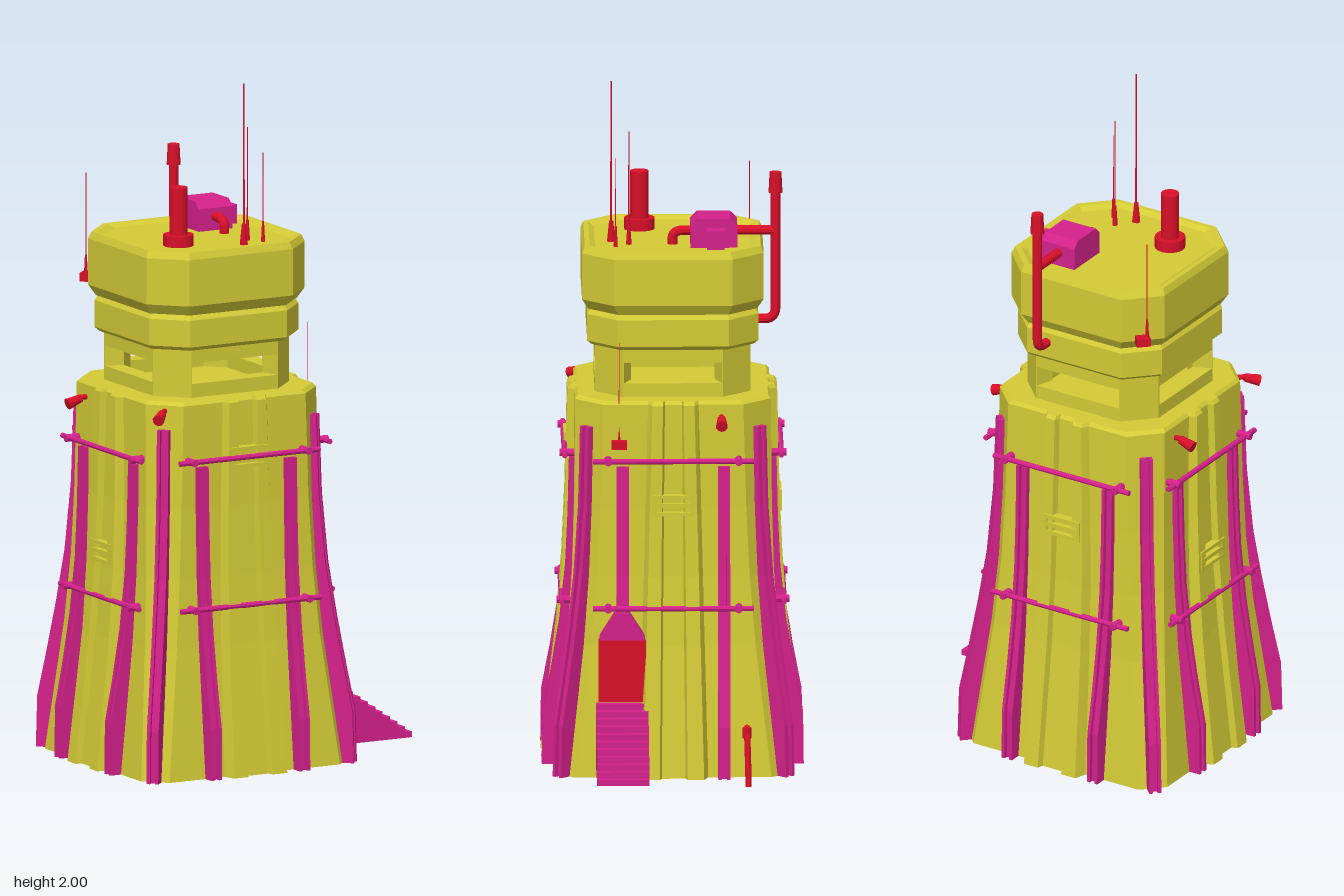
import * as THREE from 'three';

const mat = (color, side = THREE.FrontSide) => {
  const m = new THREE.MeshStandardMaterial({ color, side, flatShading: true });
  return m;
};
const YELLOW = mat(0xd4cb36, THREE.DoubleSide);
const PINK = mat(0xd4218a);
const RED = mat(0xd80f28);

function add(parent, name, geo, material, x = 0, y = 0, z = 0) {
  const m = new THREE.Mesh(geo, material);
  m.name = name;
  m.position.set(x, y, z);
  parent.add(m);
  return m;
}
const box = (w, h, d) => new THREE.BoxGeometry(w, h, d);
const cyl = (r0, r1, h, n = 12) => new THREE.CylinderGeometry(r1, r0, h, n);

// linear lookup in a list of [y, value]
function lerpAt(list, y) {
  for (let i = 1; i < list.length; i++) {
    const [y0, a] = list[i - 1], [y1, b] = list[i];
    if (y <= y1) return a + (b - a) * (y - y0) / (y1 - y0);
  }
  return list[list.length - 1][1];
}

// repeats one side's [along, out] points around the four sides
function fourSides(side) {
  const pts = [];
  for (let k = 0; k < 4; k++) {
    for (let [t, h] of side) {
      for (let i = 0; i < k; i++) [t, h] = [h, -t];
      pts.push([t, h]);
    }
  }
  return pts;
}
const octagon = (h, c) => fourSides([[-(h - c), h], [h - c, h]]);

// skins a stack of { y, pts } rings, with optional end caps
function loft(rings, capTop, capBottom) {
  const pos = [];
  const n = rings[0].pts.length;
  const v = (j, i) => { const p = rings[j].pts[i % n]; return [p[0], rings[j].y, p[1]]; };
  const last = rings.length - 1;
  for (let j = 0; j < last; j++) {
    for (let i = 0; i < n; i++) {
      pos.push(...v(j, i), ...v(j, i + 1), ...v(j + 1, i + 1));
      pos.push(...v(j, i), ...v(j + 1, i + 1), ...v(j + 1, i));
    }
  }
  for (let i = 0; i < n; i++) {
    if (capTop) pos.push(...v(last, i), ...v(last, i + 1), 0, rings[last].y, 0);
    if (capBottom) pos.push(...v(0, i + 1), ...v(0, i), 0, rings[0].y, 0);
  }
  const g = new THREE.BufferGeometry();
  g.setAttribute('position', new THREE.Float32BufferAttribute(pos, 3));
  g.computeVertexNormals();
  return g;
}

// polygon in plan, raised from y0 to y1
function prism(pts, y0, y1, hole) {
  const toShape = p => p.map(([x, z]) => new THREE.Vector2(x, -z));
  const s = new THREE.Shape(toShape(pts));
  if (hole) s.holes.push(new THREE.Path(toShape(hole)));
  return new THREE.ExtrudeGeometry(s, { depth: y1 - y0, bevelEnabled: false }).rotateX(-Math.PI / 2).translate(0, y0, 0);
}

// profile in (out, y), given a thickness across x
function plate(pts, t, x = 0) {
  const s = new THREE.Shape(pts.map(p => new THREE.Vector2(...p)));
  return new THREE.ExtrudeGeometry(s, { depth: t, bevelEnabled: false })
    .translate(0, 0, -t / 2).rotateY(-Math.PI / 2).translate(x, 0, 0);
}

const WALL = [[0.02, 0.34], [0.2, 0.322], [0.4, 0.302], [0.6, 0.289], [0.8, 0.283], [1.11, 0.28]];
const FIN = [[0.02, 0.375], [0.17, 0.373], [0.3, 0.348], [0.44, 0.325], [0.6, 0.308], [0.75, 0.301], [0.92, 0.297]];
const CORNER_FIN = [[0.02, 0.472], [0.17, 0.468], [0.3, 0.441], [0.45, 0.412], [0.6, 0.387], [0.8, 0.368], [1.03, 0.36]];

// ribbed shaft cross-section at height y
function shaftSide(y, inset = 0) {
  const f = (y - 0.02) / 1.09;
  const h = lerpAt(WALL, y) - inset, c = 0.06 + 0.02 * f;
  const r = 0.035 - 0.015 * f, b = 0.087 - 0.027 * f, a = 0.034 - 0.01 * f;
  const half = [[h - c, h], [b + 0.012, h], [b, h + r], [a + 0.006, h + r], [a, h + r - 0.018]];
  return [...half.map(([t, o]) => [-t, o]), ...half.reverse()];
}

// flanged beam standing on a wall: two flanges and a recessed web
function fin(parent, name, profile, angle, from = 0.02) {
  const g = new THREE.Group();
  g.name = name;
  g.rotation.y = angle;
  const pts = [[from, lerpAt(profile, from)], ...profile.filter(p => p[0] > from)];
  const outline = d => [...pts.map(([y, o]) => [o - d, y]), ...pts.slice().reverse().map(([y, o]) => [o - 0.055, y])];
  for (const x of [-0.0125, 0.0125]) add(g, 'flange', plate(outline(0), 0.01, x), PINK);
  add(g, 'web', plate(outline(0.012), 0.015), PINK);
  parent.add(g);
  return g;
}

function tube(points, r, n = 24) {
  const path = new THREE.CurvePath();
  const p = points.map(q => new THREE.Vector3(...q));
  // straight runs joined by rounded elbows
  let start = p[0];
  for (let i = 1; i < p.length - 1; i++) {
    const a = p[i].clone().lerp(p[i - 1], Math.min(0.5, 0.035 / p[i].distanceTo(p[i - 1])));
    const b = p[i].clone().lerp(p[i + 1], Math.min(0.5, 0.035 / p[i].distanceTo(p[i + 1])));
    path.add(new THREE.LineCurve3(start, a));
    path.add(new THREE.QuadraticBezierCurve3(a, p[i], b));
    start = b;
  }
  path.add(new THREE.LineCurve3(start, p[p.length - 1]));
  return new THREE.TubeGeometry(path, n * 2, r, 10, false);
}

function antenna(parent, x, y, z, top, r) {
  add(parent, 'antennaBase', cyl(r * 4, r * 2, 0.06, 8), RED, x, y + 0.03, z);
  add(parent, 'antennaRod', cyl(r, r * 0.7, top - y, 6), RED, x, (top + y) / 2, z);
}

function spotlight(parent, x, y, z, angle) {
  const g = new THREE.Group();
  g.name = 'spotlight';
  g.position.set(x, y, z);
  g.rotation.y = angle;
  add(g, 'lamp', cyl(0.012, 0.017, 0.045, 10).rotateX(Math.PI / 2 + 0.3), RED, 0, -0.005, 0.022);
  add(g, 'lampArm', cyl(0.008, 0.008, 0.05, 8).rotateX(Math.PI / 2), RED, 0, 0.004, -0.02);
  parent.add(g);
}

export function createModel() {
  const model = new THREE.Group();
  model.name = 'watchtower';
  const tower = new THREE.Group();
  tower.name = 'tower';
  tower.position.x = -0.107;
  model.add(tower);

  // flared shaft, open below
  const levels = [0.02, 0.1, 0.2, 0.3, 0.4, 0.5, 0.6, 0.8, 1.1];
  const rings = levels.map(y => ({ y, pts: fourSides(shaftSide(y)) }));
  rings.push({ y: 1.11, pts: fourSides(shaftSide(1.11, 0.008)) });
  add(tower, 'shaft', loft(rings, true, false), YELLOW);

  // neck with a see-through window on each side
  const ring = octagon(0.223, 0.08), inner = octagon(0.17, 0.05);
  add(tower, 'windowSill', prism(ring, 1.105, 1.15, inner), YELLOW);
  add(tower, 'windowLintel', prism(ring, 1.21, 1.255, inner), YELLOW);
  const pillar = [[0.14, 0.223], [0.143, 0.223], [0.223, 0.143], [0.223, 0.14], [0.17, 0.12], [0.12, 0.17]];
  for (let k = 0; k < 4; k++) {
    add(tower, 'neckPillar', prism(pillar, 1.15, 1.21), YELLOW).rotation.y = k * Math.PI / 2;
  }

  // head: lower collar, upper block and sunken deck
  const stack = list => list.map(([y, h, c]) => ({ y, pts: octagon(h, c) }));
  add(tower, 'headCollar', loft(stack([[1.25, 0.232, 0.08], [1.262, 0.245, 0.085], [1.34, 0.245, 0.085], [1.355, 0.235, 0.08]]), true, true), YELLOW);
  add(tower, 'head', loft(stack([[1.355, 0.242, 0.085], [1.385, 0.26, 0.09], [1.52, 0.26, 0.09], [1.54, 0.252, 0.088],
    [1.54, 0.238, 0.083], [1.53, 0.222, 0.078]]), true, true), YELLOW);

  // per-side fins, rails and slit windows
  const slitY = [0.94, 0.81, 0.77, 0.64];
  for (let k = 0; k < 4; k++) {
    const a = k * Math.PI / 2;
    fin(tower, 'cornerFin', CORNER_FIN, a + Math.PI / 4);
    const side = new THREE.Group();
    side.name = 'towerSide';
    side.rotation.y = a;
    tower.add(side);
    for (const s of [-1, 1]) {
      const overDoor = k === 1 && s === -1;
      fin(side, 'wallFin', FIN, 0, overDoor ? 0.42 : 0.02).position.x = s * 0.145;
    }
    for (const y of [0.51, 0.94]) {
      const out = y < 0.6 ? 0.318 : 0.31;
      add(side, 'rail', cyl(0.008, 0.008, 0.46, 8).rotateZ(Math.PI / 2), PINK, 0, y, out);
      for (const s of [-1, 1]) {
        add(side, 'railBracket', cyl(0.011, 0.011, 0.07, 8).rotateX(Math.PI / 2), PINK, s * 0.187, y, out - 0.02);
      }
    }
    const out = lerpAt(WALL, slitY[k]) + 0.012;
    for (const dy of [-0.025, 0, 0.025]) add(side, 'slitBar', box(0.116, dy ? 0.01 : 0.012, 0.035), YELLOW, 0, slitY[k] + dy, out);
    for (const s of [-1, 1]) add(side, 'slitJamb', box(0.012, 0.06, 0.035), YELLOW, s * 0.055, slitY[k], out);
    add(side, 'slitBack', box(0.11, 0.05, 0.012), YELLOW, 0, slitY[k], out - 0.004);
  }

  // door with hinges and tapering hood
  add(model, 'door', box(0.06, 0.18, 0.135), RED, 0.195, 0.33, 0.147);
  for (const y of [0.28, 0.33, 0.38]) add(model, 'doorHinge', box(0.006, 0.02, 0.012), RED, 0.227, y, 0.095);
  const hood = new THREE.Shape([[-0.065, 0.415], [0.065, 0.415], [0.065, 0.43], [0.02, 0.5], [-0.02, 0.5], [-0.065, 0.43]].map(p => new THREE.Vector2(...p)));
  add(model, 'doorHood', new THREE.ExtrudeGeometry(hood, { depth: 0.05, bevelEnabled: false }).rotateY(Math.PI / 2), PINK, 0.175, 0, 0.147);

  // stairs
  const steps = 11, run = 0.267 / steps, rise = 0.185 / steps;
  const stair = [[0.21, 0.05], [0.477, 0.05]];
  for (let i = 0; i < steps; i++) {
    const x = 0.477 - i * run;
    stair.push([x, 0.05 + (i + 1) * rise], [x - run, 0.05 + (i + 1) * rise]);
  }
  const stairShape = new THREE.Shape(stair.map(p => new THREE.Vector2(...p)));
  add(model, 'stairs', new THREE.ExtrudeGeometry(stairShape, { depth: 0.15, bevelEnabled: false }), PINK, 0, 0, 0.072);

  // roof machinery
  add(model, 'chimneyBase', cyl(0.044, 0.044, 0.035, 20), RED, -0.218, 1.545, 0.092);
  add(model, 'chimney', cyl(0.026, 0.026, 0.16, 20), RED, -0.218, 1.62, 0.092);
  const unit = [[-0.067, 1.525], [0.067, 1.525], [0.067, 1.595], [0.047, 1.615], [-0.047, 1.615], [-0.067, 1.595]];
  add(model, 'ventUnit', plate(unit, 0.11), PINK, -0.015, 0, -0.118);
  add(model, 'ventMotor', box(0.045, 0.055, 0.05), PINK, 0.06, 1.56, -0.123);
  add(model, 'roofPipe', tube([[-0.015, 1.525, 0], [-0.015, 1.57, 0], [-0.015, 1.57, -0.295]], 0.014), RED);
  add(model, 'exhaustPipe', tube([[-0.015, 1.31, -0.235], [-0.015, 1.31, -0.295], [-0.015, 1.7, -0.295]], 0.014), RED);
  add(model, 'exhaustCap', cyl(0.02, 0.017, 0.06, 12), RED, -0.015, 1.71, -0.295);

  // antennas
  antenna(model, -0.05, 1.53, 0.175, 2.0, 0.003);
  antenna(model, -0.01, 1.53, 0.125, 1.86, 0.002);
  antenna(model, 0.02, 1.53, 0.163, 1.79, 0.0015);
  antenna(model, -0.343, 1.4, -0.225, 1.7, 0.0015);
  add(model, 'antennaMount', box(0.04, 0.025, 0.03), RED, -0.335, 1.395, -0.235).rotation.y = Math.PI / 4;
  antenna(model, 0.17, 0.99, 0.155, 1.28, 0.0015);
  add(model, 'antennaMount', box(0.04, 0.025, 0.045), RED, 0.175, 0.985, 0.155);

  // spotlights and drain
  spotlight(model, -0.405, 1.06, -0.145, -Math.PI / 2);
  spotlight(model, 0.19, 1.06, -0.138, Math.PI / 2);
  spotlight(model, -0.365, 1.08, 0.258, -Math.PI / 4);
  add(model, 'drainPipe', tube([[0.19, 0.16, -0.21], [0.23, 0.165, -0.21], [0.262, 0.06, -0.213], [0.27, 0, -0.214]], 0.009), RED);
  add(model, 'drainCollar', cyl(0.013, 0.013, 0.03, 10), RED, 0.23, 0.15, -0.21);

  return model;
}
